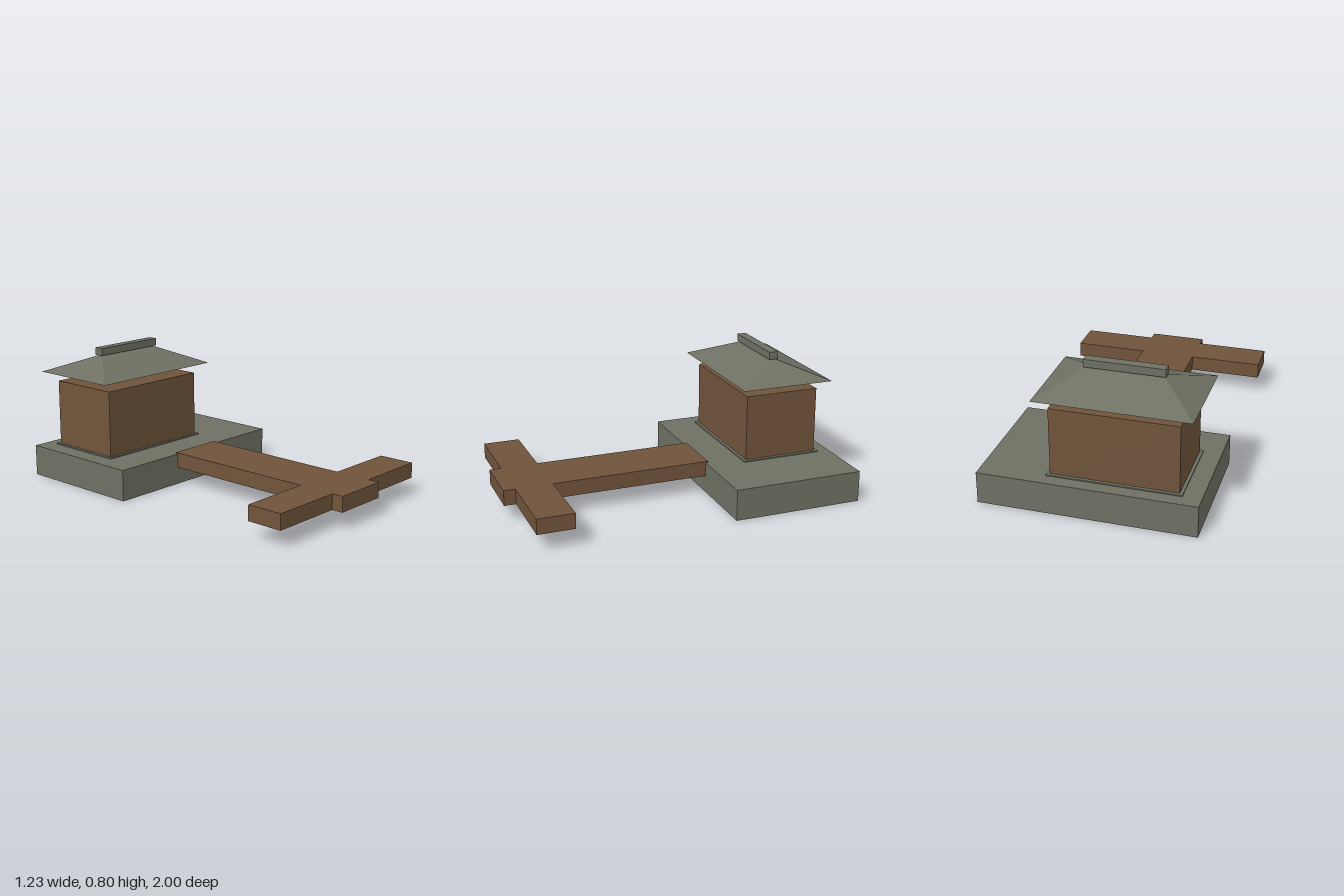
import * as THREE from 'three';

const stone = new THREE.MeshStandardMaterial({ color: 0x6e7063, side: THREE.DoubleSide, flatShading: true });
stone.name = 'grey stone';
const wood = new THREE.MeshStandardMaterial({ color: 0x70543b, side: THREE.DoubleSide, flatShading: true });
wood.name = 'brown wood';

// Hollow shell with four sides and no bottom: top edge rectangle t and bottom
// rectangle b, each [x0, x1, z0, z1]. A flat cap is added when t has an area.
function shell(name, material, b, y0, t, y1) {
  const ring = ([x0, x1, z0, z1], y) => [[x0, y, z1], [x1, y, z1], [x1, y, z0], [x0, y, z0]];
  const low = ring(b, y0), high = ring(t, y1);
  const points = [];
  const quad = (p, q, r, s) => points.push(...p, ...q, ...r, ...p, ...r, ...s);
  for (let i = 0; i < 4; i++) {
    const j = (i + 1) % 4;
    // The end slopes of a ridge roof come to a point
    if (t[2] === t[3] && i % 2) points.push(...low[i], ...low[j], ...high[i]);
    else quad(low[i], low[j], high[j], high[i]);
  }
  if (t[2] !== t[3]) quad(...high);
  const geometry = new THREE.BufferGeometry();
  geometry.setAttribute('position', new THREE.Float32BufferAttribute(points, 3));
  geometry.computeVertexNormals();
  const mesh = new THREE.Mesh(geometry, material);
  mesh.name = name;
  return mesh;
}

const openBox = (name, material, rect, y0, y1) => shell(name, material, rect, y0, rect, y1);

export function createModel() {
  const model = new THREE.Group();
  model.name = 'boathouseWithPier';

  // Stone platform and the low plinth under the house
  model.add(openBox('platform', stone, [-0.615, 0.615, -1, -0.22], 0, 0.185));
  model.add(openBox('plinth', stone, [-0.51, 0.245, -0.925, -0.437], 0.1, 0.192));

  // House walls
  model.add(openBox('house', wood, [-0.492, 0.225, -0.907, -0.455], 0.18, 0.585));

  // Floating hipped roof with a ridge cap
  model.add(shell('roof', stone, [-0.57, 0.3, -0.967, -0.402], 0.645, [-0.337, 0.067, -0.685, -0.685], 0.755));
  model.add(openBox('ridgeCap', stone, [-0.36, 0.092, -0.712, -0.657], 0.752, 0.797));

  // T-shaped pier
  model.add(openBox('pierWalkway', wood, [-0.167, 0.167, -0.235, 1], 0.102, 0.193));
  model.add(openBox('pierCrossing', wood, [-0.6, 0.6, 0.715, 0.932], 0.102, 0.193));

  return model;
}
